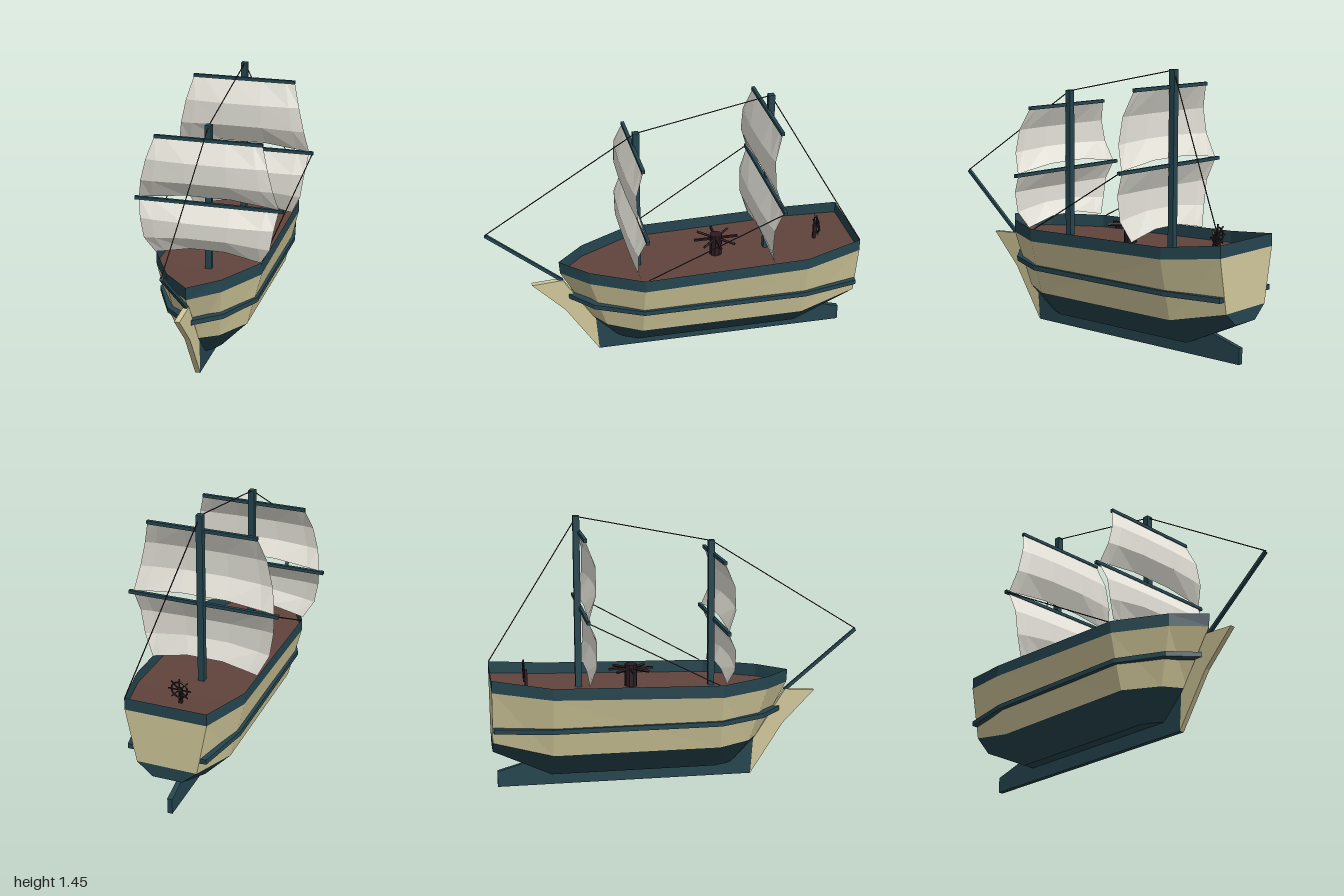
import * as THREE from 'three';

const mat = (name, color, side = THREE.FrontSide) => {
  const m = new THREE.MeshStandardMaterial({ color, side, flatShading: true });
  m.name = name;
  return m;
};

export function createModel() {
  const ship = new THREE.Group();
  ship.name = 'sailingShip';
  const cream = mat('creamPlanks', 0xd2c99b);
  const teal = mat('darkTealPaint', 0x25454f, THREE.DoubleSide);
  const brown = mat('brownDeck', 0x60443c);
  const canvas = mat('sailCanvas', 0xe6e4da, THREE.DoubleSide);
  const dark = mat('darkFittings', 0x2b1b22);

  const add = (name, geo, material, parent = ship) => {
    const m = new THREE.Mesh(geo, material);
    m.name = name;
    parent.add(m);
    return m;
  };
  const V = (x, y, z) => new THREE.Vector3(x, y, z);

  // Faceted geometry from a list of four-cornered faces
  const quads = (faces) => {
    const pts = faces.flatMap(([a, b, c, d]) => [a, b, c, a, c, d]);
    const g = new THREE.BufferGeometry().setFromPoints(pts);
    g.computeVertexNormals();
    return g;
  };

  // Hull lines from bow to stern: [half width, height, z]
  const line = (pts) => pts.map((p) => V(...p));
  const bottom = line([[0, .075, .31], [.04, .075, .27], [.075, .075, .2], [.075, .075, -.69], [.08, .22, -1]]);
  const water = line([[0, .22, .45], [.11, .22, .38], [.215, .22, .2], [.215, .22, -.69], [.16, .29, -1]]);
  const sheer = line([[0, .51, .61], [.145, .511, .47], [.29, .513, .2], [.29, .54, -.69], [.215, .575, -1]]);
  const railTop = line([[0, .58, .615], [.145, .58, .47], [.29, .58, .2], [.29, .602, -.69], [.215, .64, -1]]);
  const flip = (v) => V(-v.x, v.y, v.z);

  // Both sides and the stern panel between two hull lines
  const shell = (a, b) => {
    const f = [];
    for (let i = 0; i < a.length - 1; i++) {
      f.push([a[i], a[i + 1], b[i + 1], b[i]]);
      f.push([flip(a[i]), flip(b[i]), flip(b[i + 1]), flip(a[i + 1])]);
    }
    const p = a[a.length - 1], q = b[b.length - 1];
    f.push([p, flip(p), flip(q), q]);
    return f;
  };
  // Flat cover across a hull line, facing up or down
  const cover = (l, up) => l.slice(1).map((n, i) => {
    const f = [l[i], n, flip(n), flip(l[i])];
    return up ? f : f.reverse();
  });

  add('lowerHull', quads([...shell(bottom, water), ...cover(bottom, false)]), teal);
  add('upperHull', quads(shell(water, sheer)), cream);
  add('rail', quads(shell(sheer, railTop)), teal);
  add('deck', quads(cover(sheer, true)), brown);

  // Rubbing strake around the hull
  const half = [[0, .58], [.15, .45], [.27, .2], [.27, -.69], [.208, -.995]];
  const outline = [...half, ...half.slice(1).reverse().map(([x, z]) => [-x, z])];
  const strake = new THREE.ExtrudeGeometry(
    new THREE.Shape(outline.map(([x, z]) => new THREE.Vector2(x, -z))), { depth: .026, bevelEnabled: false });
  add('strake', strake.rotateX(-Math.PI / 2).translate(0, .352, 0), teal);

  // Centreline plates, drawn as [z, y]
  const plate = (name, pts, width, material) => {
    const g = new THREE.ExtrudeGeometry(
      new THREE.Shape(pts.map((p) => new THREE.Vector2(...p))), { depth: width, bevelEnabled: false });
    add(name, g.rotateY(-Math.PI / 2).translate(width / 2, 0, 0), material);
  };
  plate('keel', [[-.975, 0], [.41, 0], [.43, .21], [.3, .12], [-.68, .1], [-.8, .135], [-.975, .085]], .026, teal);
  plate('stem', [[.41, 0], [.59, .28], [.765, .46], [.6, .47], [.44, .22], [.425, .2]], .028, cream);

  // Straight bar or rope between two points
  const bar = (name, a, b, r, material, sides = 4, parent = ship) => {
    const d = b.clone().sub(a);
    const g = new THREE.CylinderGeometry(r, r, d.length(), sides);
    if (sides === 4) g.rotateY(Math.PI / 4);
    const m = add(name, g, material, parent);
    m.position.copy(a).addScaledVector(d, .5);
    m.quaternion.setFromUnitVectors(V(0, 1, 0), d.normalize());
  };
  bar('bowsprit', V(0, .465, .6), V(0, .79, .993), .012, teal);

  // Sail rows from head to foot: [height, half width, depth of belly, arch]
  const sail = (name, rows, z, parent) => {
    const cols = [-1, -.82, -.33, .33, .82, 1];
    const full = [.72, .86, 1, 1, .86, .72];
    const grid = rows.map(([y, w, belly, arch]) => cols.map((c, j) =>
      V(c * w, y + arch * Math.min(1, (1 - Math.abs(c)) / .67), z + belly * full[j])));
    const f = [];
    for (let i = 0; i < rows.length - 1; i++)
      for (let j = 0; j < cols.length - 1; j++)
        f.push([grid[i][j], grid[i + 1][j], grid[i + 1][j + 1], grid[i][j + 1]]);
    add(name, quads(f), canvas, parent);
  };

  // Masts with two yards and two sails each
  const rig = (name, z, top, upper, lower, foot) => {
    const g = new THREE.Group();
    g.name = name;
    ship.add(g);
    add('mast', new THREE.BoxGeometry(.034, top - .5, .034), teal, g).position.set(0, (top + .5) / 2, z);
    const zy = z + .017;
    for (const [y, w] of [[upper, .29], [lower, .402]])
      add('yard', new THREE.BoxGeometry(w * 2, .018, .018), teal, g).position.set(0, y, zy);
    const at = (a, b, t) => a + (b - a) * t;
    sail('upperSail', [[upper, .288, 0, 0], [at(upper, lower, .33), .325, .06, 0],
      [at(upper, lower, .67), .355, .06, .01], [lower + .008, .378, .004, .03]], zy, g);
    sail('lowerSail', [[lower, .378, 0, 0], [at(lower, foot, .33), .362, .06, 0],
      [at(lower, foot, .7), .342, .06, .025], [foot, .288, .018, .04]], zy, g);
  };
  rig('foremast', .187, 1.305, 1.225, .877, .585);
  rig('mainmast', -.532, 1.45, 1.36, .96, .6);

  // Rigging
  const ropes = [
    [V(0, .793, .995), V(0, 1.3, .19)],
    [V(0, 1.3, .19), V(0, 1.445, -.53)],
    [V(0, 1.445, -.53), V(.213, .64, -.998)],
    [V(.398, .96, -.515), V(.289, .582, .18)],
    [V(-.398, .96, -.515), V(-.289, .582, .18)],
  ];
  ropes.forEach(([a, b]) => bar('rope', a, b, .003, dark, 5));

  // Capstan with eight bars
  const capstan = new THREE.Group();
  capstan.name = 'capstan';
  capstan.position.set(0, 0, -.25);
  ship.add(capstan);
  add('drum', new THREE.CylinderGeometry(.034, .034, .125, 10), dark, capstan).position.y = .583;
  for (let i = 0; i < 8; i++) {
    const a = i * Math.PI / 4;
    bar('capstanBar', V(0, .622, 0), V(Math.cos(a) * .12, .622, Math.sin(a) * .12), .008, dark, 4, capstan);
  }

  // Steering wheel on its post
  const wheel = new THREE.Group();
  wheel.name = 'steeringWheel';
  wheel.position.set(0, .633, -.822);
  ship.add(wheel);
  add('rim', new THREE.TorusGeometry(.043, .005, 5, 16), dark, wheel);
  for (let i = 0; i < 8; i++) {
    const a = i * Math.PI / 4;
    bar('spoke', V(0, 0, 0), V(Math.cos(a) * .061, Math.sin(a) * .061, 0), .004, dark, 4, wheel);
  }
  add('post', new THREE.BoxGeometry(.018, .09, .014), dark, wheel).position.set(0, -.04, .012);

  return ship;
}
